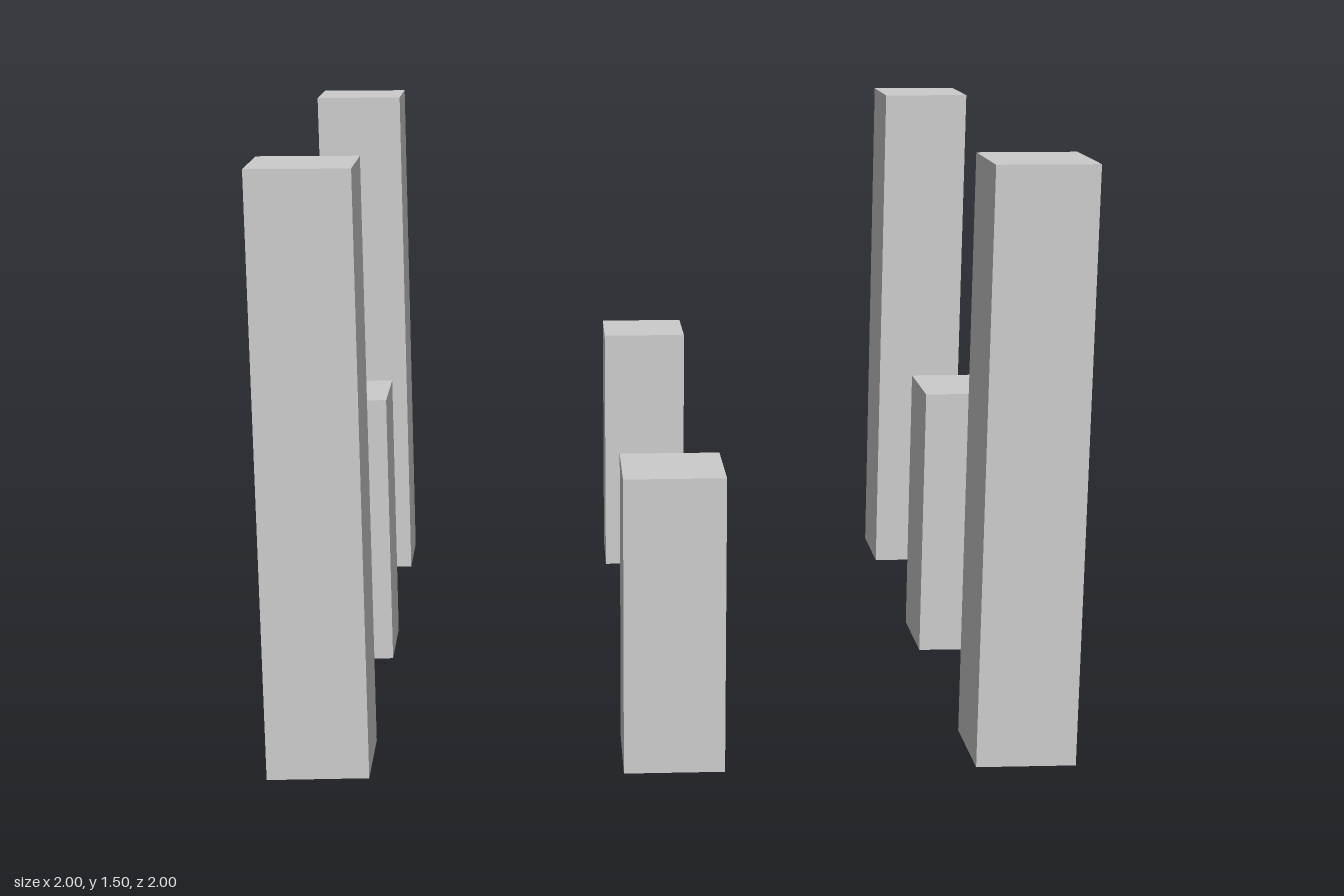
import * as THREE from 'three';

const SIZE = 0.25;      // square footprint of every post
const OFFSET = 0.875;   // distance of the outer post centres from the middle
const TALL = 1.5;
const SHORT = 0.75;

export function createModel() {
  const model = new THREE.Group();
  model.name = 'postRing';
  const material = new THREE.MeshStandardMaterial({ color: 0xcccccc, flatShading: true });

  function addPost(name, x, z, height) {
    const post = new THREE.Mesh(new THREE.BoxGeometry(SIZE, height, SIZE), material);
    post.name = name;
    post.position.set(x * OFFSET, height / 2, z * OFFSET);
    model.add(post);
  }

  // Tall posts at the four corners
  for (const [side, x] of [['Left', 1], ['Right', -1]]) {
    addPost('front' + side + 'CornerPost', x, 1, TALL);
    addPost('back' + side + 'CornerPost', x, -1, TALL);
  }

  // Half-height posts at the middle of each side
  addPost('frontMiddlePost', 0, 1, SHORT);
  addPost('backMiddlePost', 0, -1, SHORT);
  addPost('leftMiddlePost', 1, 0, SHORT);
  addPost('rightMiddlePost', -1, 0, SHORT);

  return model;
}
